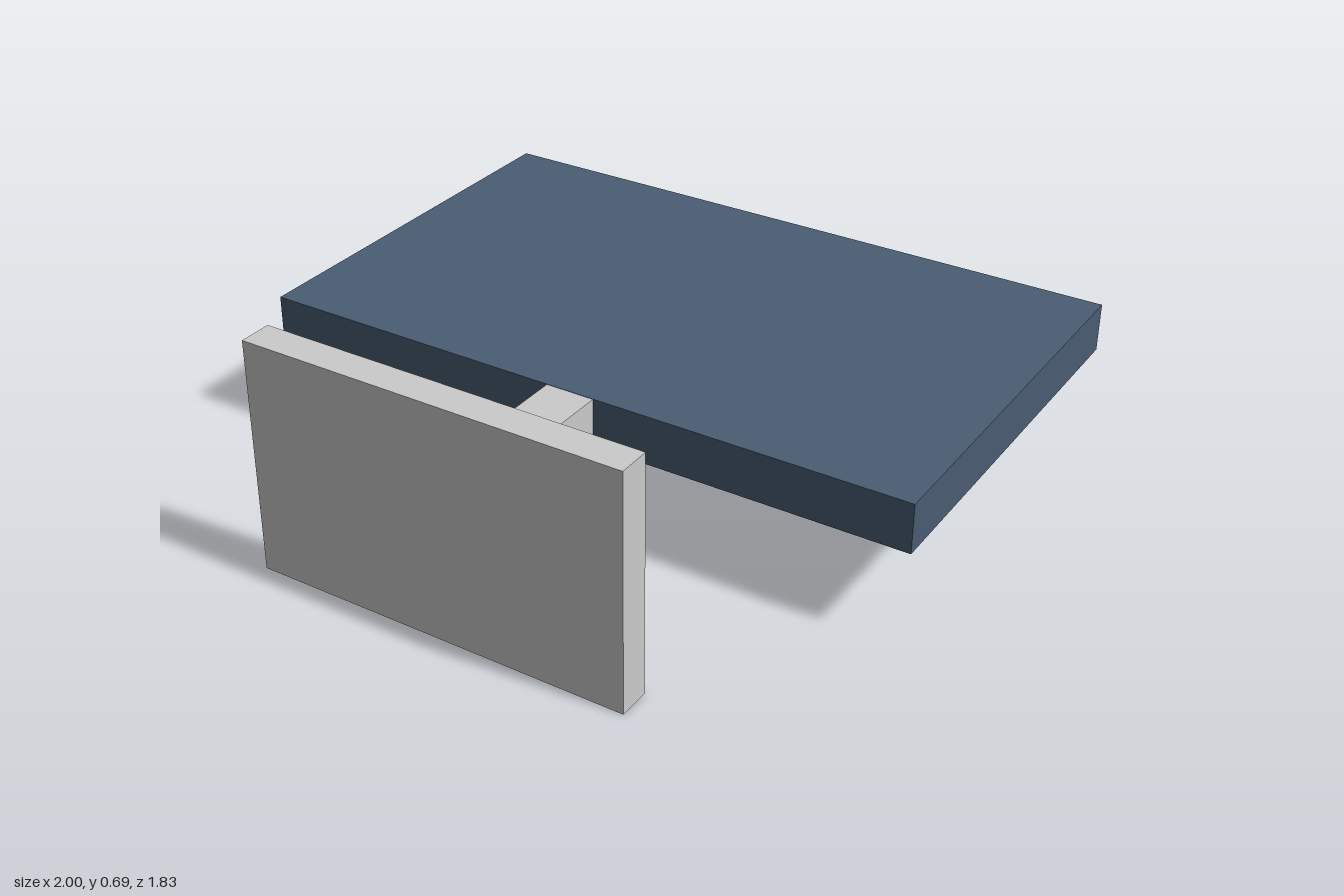
import * as THREE from 'three';

export function createModel() {
  const model = new THREE.Group();
  const grey = new THREE.MeshStandardMaterial({ color: 0xcccccc });
  const blue = new THREE.MeshStandardMaterial({ color: 0x4a5d72 });

  // Box given by its [min, max] extent along each axis
  function addBox(name, material, [x0, x1], [y0, y1], [z0, z1]) {
    const mesh = new THREE.Mesh(new THREE.BoxGeometry(x1 - x0, y1 - y0, z1 - z0), material);
    mesh.position.set((x0 + x1) / 2, (y0 + y1) / 2, (z0 + z1) / 2);
    mesh.name = name;
    model.add(mesh);
  }

  // Wide horizontal slab
  addBox('slab', blue, [-1, 1], [0.27, 0.415], [-0.915, 0.305]);
  // Connecting arm, its rear end sunk just inside the slab
  addBox('connectingArm', grey, [-0.073, 0.073], [0.271, 0.414], [0.19, 0.805]);
  // Upright front panel, separated from the arm by a narrow gap
  addBox('frontPanel', grey, [-0.56, 0.56], [0, 0.685], [0.82, 0.915]);

  return model;
}
